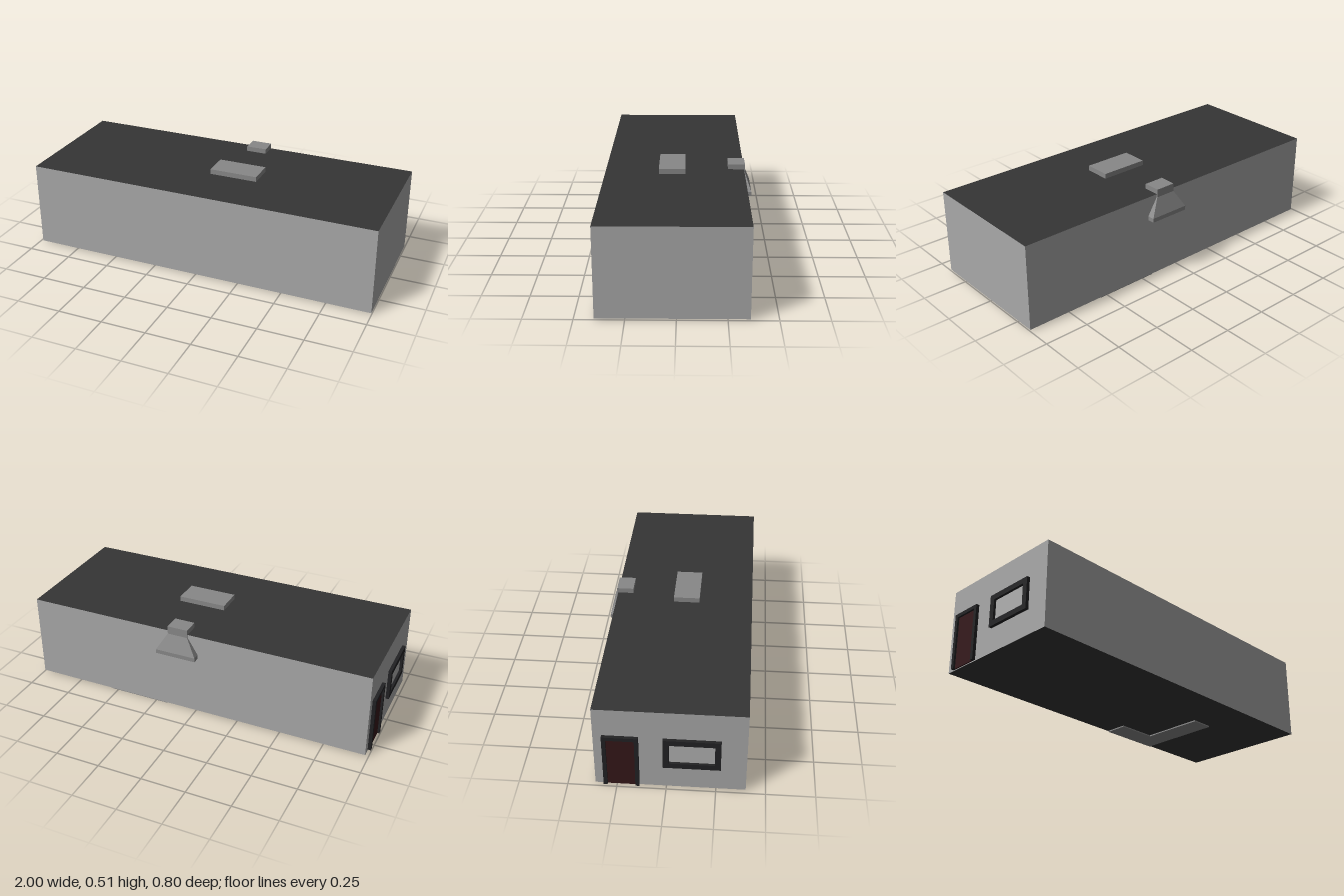
import * as THREE from 'three';

const mat = (name, color) => new THREE.MeshStandardMaterial({ name, color });

export function createModel() {
  const wall = mat('wall grey', 0xa9a9a9);
  const dark = mat('roof charcoal', 0x353535);
  const vent = mat('vent grey', 0x888888);
  const frame = mat('frame black', 0x222224);
  const doorRed = mat('door dark red', 0x351719);
  const glass = mat('window pane grey', 0xb0b0b0);

  const model = new THREE.Group();
  model.name = 'building';

  const add = (name, geometry, material, parent = model) => {
    const mesh = new THREE.Mesh(geometry, material);
    mesh.name = name;
    parent.add(mesh);
    return mesh;
  };
  // Box given by its minimum and maximum corners
  const box = (name, material, [x0, y0, z0], [x1, y1, z1], parent) => {
    const g = new THREE.BoxGeometry(x1 - x0, y1 - y0, z1 - z0);
    g.translate((x0 + x1) / 2, (y0 + y1) / 2, (z0 + z1) / 2);
    return add(name, g, material, parent);
  };

  // Main block: grey walls, charcoal roof and floor
  box('body', [wall, wall, dark, dark, wall, wall], [-0.982, 0.007, -0.36], [0.998, 0.487, 0.4]);

  // Vents on the roof
  box('roofVent', vent, [-0.03, 0.48, -0.037], [0.242, 0.515, 0.107]);
  box('ductTop', vent, [0.04, 0.48, -0.365], [0.156, 0.515, -0.272]);

  // Flared duct hood on the back wall, built from horizontal sections
  const sections = [ // y, half width, back z
    [0.49, 0.058, -0.365],
    [0.47, 0.058, -0.365],
    [0.375, 0.116, -0.4],
    [0.352, 0.116, -0.4],
  ];
  const cx = 0.098;
  const points = [];
  const index = [];
  sections.forEach(([y, w, z], i) => {
    points.push(cx - w, y, -0.358, cx - w, y, z, cx + w, y, z, cx + w, y, -0.358);
    if (i === 0) return;
    for (let k = 0; k < 4; k++) {
      const n = (k + 1) % 4;
      const a = (i - 1) * 4 + k, b = (i - 1) * 4 + n;
      const c = i * 4 + k, d = i * 4 + n;
      index.push(a, b, c, b, d, c);
    }
  });
  const e = (sections.length - 1) * 4;
  index.push(e, e + 1, e + 2, e, e + 2, e + 3);
  const indexed = new THREE.BufferGeometry();
  indexed.setAttribute('position', new THREE.Float32BufferAttribute(points, 3));
  indexed.setIndex(index);
  const hood = indexed.toNonIndexed();
  hood.computeVertexNormals();
  const hoodMat = vent;
  hoodMat.side = THREE.DoubleSide;
  add('ductHood', hood, hoodMat);

  // L-shaped duct under the floor
  box('underDuctLong', vent, [0.41, 0, -0.355], [0.54, 0.008, 0.13]);
  box('underDuctShort', vent, [0.18, 0, -0.355], [0.41, 0.008, -0.23]);

  // Frame of four bars on the -x wall
  const wallFrame = (name, z0, z1, y0, y1, t, sill) => {
    const g = new THREE.Group();
    g.name = name;
    model.add(g);
    const a = -1, b = -0.98;
    box('frameTop', frame, [a, y1 - t, z0], [b, y1, z1], g);
    if (sill) box('frameSill', frame, [a, y0, z0], [b, y0 + t, z1], g);
    const base = sill ? y0 + t : y0;
    for (const z of [z0, z1 - t]) box('frameSide', frame, [a, base, z], [b, y1 - t, z + t], g);
    return g;
  };

  // Door
  const door = wallFrame('door', -0.316, -0.135, 0.012, 0.327, 0.02, false);
  box('doorPanel', doorRed, [-0.989, 0.012, -0.296], [-0.98, 0.307, -0.155], door);

  // Window
  const win = wallFrame('window', -0.015, 0.272, 0.147, 0.325, 0.03, true);
  box('windowPane', glass, [-0.986, 0.177, 0.015], [-0.98, 0.295, 0.242], win);

  return model;
}
